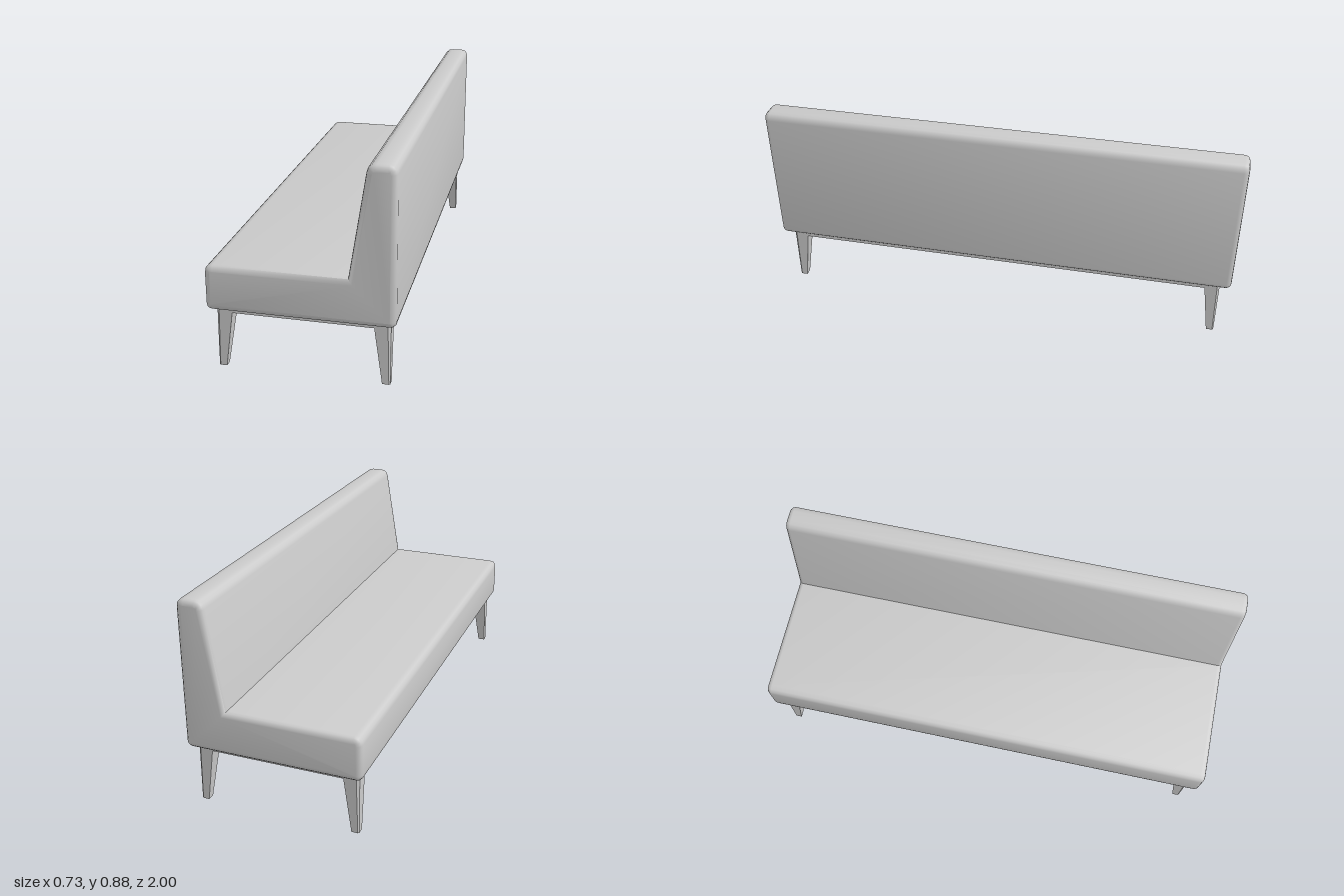
import * as THREE from 'three';
import { toCreasedNormals } from 'three/addons/utils/BufferGeometryUtils.js';

const material = new THREE.MeshStandardMaterial({ color: 0xcccccc });

function addMesh(parent, name, geometry) {
  const mesh = new THREE.Mesh(geometry, material);
  mesh.name = name;
  parent.add(mesh);
  return mesh;
}

// Closed shape from [x, y, corner radius] entries
function roundedShape(corners) {
  const shape = new THREE.Shape();
  const n = corners.length;
  corners.forEach(([x, y, r], i) => {
    const p = new THREE.Vector2(x, y);
    const toward = ([qx, qy]) =>
      new THREE.Vector2(qx, qy).sub(p).setLength(r).add(p);
    const a = toward(corners[(i + n - 1) % n]);
    const b = toward(corners[(i + 1) % n]);
    if (i === 0) shape.moveTo(a.x, a.y);
    else shape.lineTo(a.x, a.y);
    if (r > 0) shape.quadraticCurveTo(x, y, b.x, b.y);
  });
  shape.closePath();
  return shape;
}

// One-piece seat and backrest, swept along the bench length
function upholsteryGeometry() {
  const bevel = 0.022;
  const profile = roundedShape([
    [-0.364, 0.255, 0.025],
    [0.364, 0.255, 0.025],
    [0.362, 0.875, 0.032],
    [0.255, 0.875, 0.032],
    [0.184, 0.437, 0],
    [-0.364, 0.437, 0.032],
  ]);
  const geometry = new THREE.ExtrudeGeometry(profile, {
    depth: 2 - 2 * bevel,
    curveSegments: 3,
    bevelEnabled: true,
    bevelThickness: bevel,
    bevelSize: bevel,
    bevelOffset: -bevel,
    bevelSegments: 3,
  });
  geometry.translate(0, 0, -1 + bevel);
  return toCreasedNormals(geometry, Math.PI / 3);
}

const FRAME_X = 0.337; // outer faces of the base frame
const FRAME_Z = 0.955;
const FRAME_TOP = 0.256;
const FRAME_BOTTOM = 0.23;

// Leg with a chamfered outer corner, tapering towards that corner
function legGeometry(sx, sz) {
  const w = 0.062, c = 0.01;
  const section = [[c, 0], [w, 0], [w, w], [0, w], [0, c]];
  const shape = new THREE.Shape(
    section.map(([x, z]) => new THREE.Vector2(-sx * x, sz * z)));
  const geometry = new THREE.ExtrudeGeometry(shape, { depth: FRAME_BOTTOM, bevelEnabled: false });
  geometry.rotateX(-Math.PI / 2);
  const pos = geometry.attributes.position;
  for (let i = 0; i < pos.count; i++) {
    const k = THREE.MathUtils.lerp(0.5, 1, pos.getY(i) / FRAME_BOTTOM);
    pos.setX(i, sx * FRAME_X + pos.getX(i) * k);
    pos.setZ(i, sz * FRAME_Z + pos.getZ(i) * k);
  }
  geometry.computeVertexNormals();
  return geometry;
}

// Rectangular rail ring under the seat, open in the middle
function railGeometry() {
  const t = 0.024, c = 0.01;
  const x = FRAME_X, z = FRAME_Z;
  const outer = [
    [x - c, -z], [x, c - z], [x, z - c], [x - c, z],
    [c - x, z], [-x, z - c], [-x, c - z], [c - x, -z],
  ];
  const inner = [[t - x, t - z], [t - x, z - t], [x - t, z - t], [x - t, t - z]];
  const toVectors = (list) => list.map(([a, b]) => new THREE.Vector2(a, b));
  const shape = new THREE.Shape(toVectors(outer));
  shape.holes.push(new THREE.Path(toVectors(inner)));
  const geometry = new THREE.ExtrudeGeometry(shape, {
    depth: FRAME_TOP - FRAME_BOTTOM,
    bevelEnabled: false,
  });
  geometry.rotateX(-Math.PI / 2);
  geometry.translate(0, FRAME_BOTTOM, 0);
  return geometry;
}

export function createModel() {
  const bench = new THREE.Group();
  bench.name = 'bench';

  addMesh(bench, 'upholstery', upholsteryGeometry());

  const base = new THREE.Group();
  base.name = 'base';
  bench.add(base);
  addMesh(base, 'rails', railGeometry());
  for (const sx of [-1, 1]) {
    for (const sz of [-1, 1]) {
      const name = (sz > 0 ? 'front' : 'back') + (sx > 0 ? 'Left' : 'Right') + 'Leg';
      addMesh(base, name, legGeometry(sx, sz));
    }
  }
  return bench;
}
